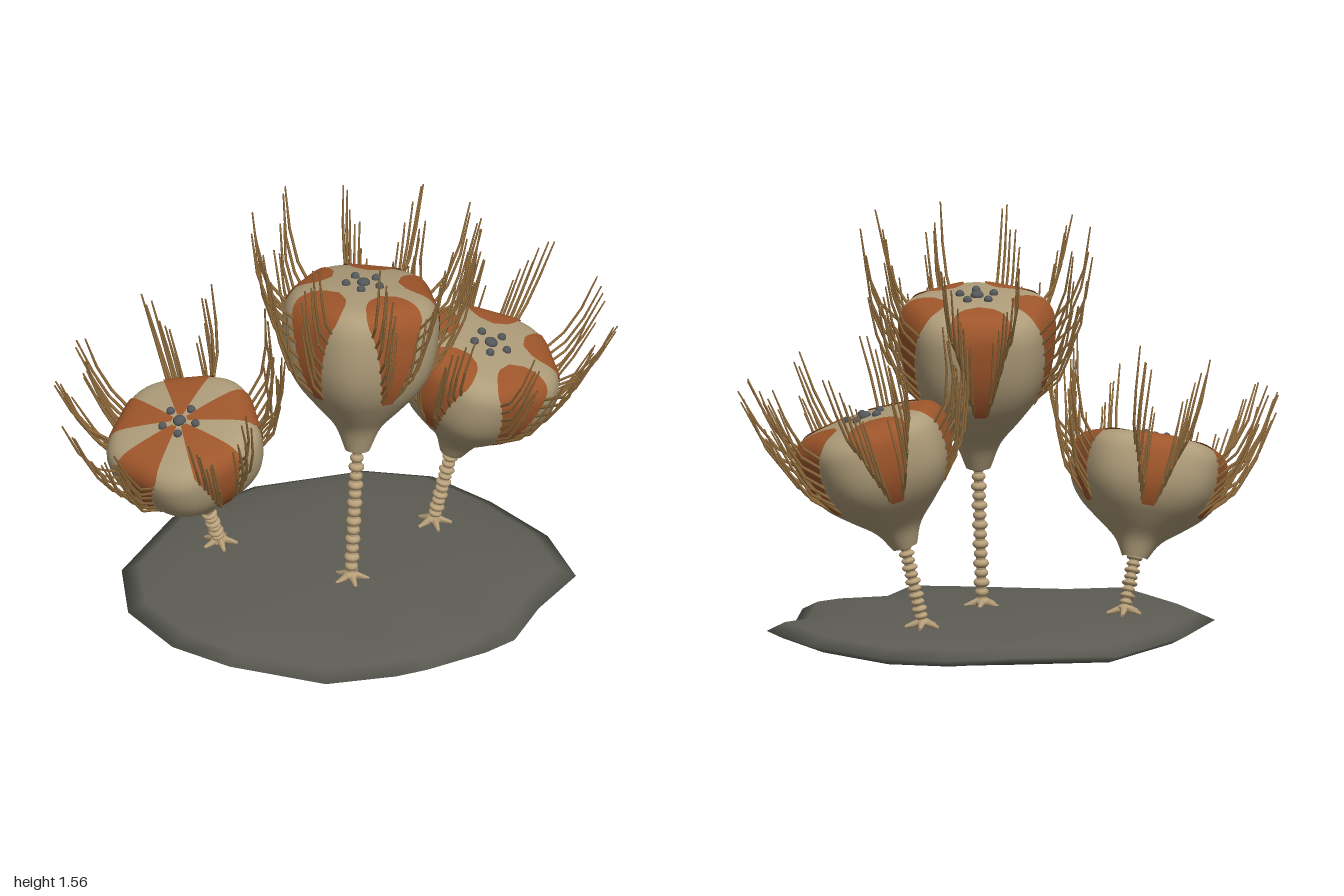
import * as THREE from 'three';
import { mergeGeometries, mergeVertices } from 'three/addons/utils/BufferGeometryUtils.js';

const V = (x, y, z) => new THREE.Vector3(x, y, z);
const mat = (name, color, side = THREE.FrontSide) => {
  const m = new THREE.MeshStandardMaterial({ color, side });
  m.name = name;
  return m;
};
let seed = 7;
const rand = () => (seed = (seed * 16807) % 2147483647) / 2147483647 - 0.5;

// Smooth surface from a rule f(u, v): u runs round, v runs upwards
function surface(f, nu, nv) {
  const pos = [], index = [];
  for (let i = 0; i <= nu; i++)
    for (let j = 0; j <= nv; j++) pos.push(...f(i / nu, j / nv).toArray());
  for (let i = 0; i < nu; i++)
    for (let j = 0; j < nv; j++) {
      const a = i * (nv + 1) + j, c = a + nv + 1;
      index.push(a, a + 1, c, c, a + 1, c + 1);
    }
  let g = new THREE.BufferGeometry();
  g.setAttribute('position', new THREE.Float32BufferAttribute(pos, 3));
  g.setIndex(index);
  g = mergeVertices(g, 1e-5);
  g.computeVertexNormals();
  return g;
}

// Thin tapered rod between two points
function rod(a, b, r0, r1, sides = 4) {
  const d = b.clone().sub(a);
  const g = new THREE.CylinderGeometry(r1, r0, d.length(), sides);
  g.applyQuaternion(new THREE.Quaternion().setFromUnitVectors(V(0, 1, 0), d.normalize()));
  const m = a.clone().add(b).multiplyScalar(0.5);
  return g.translate(m.x, m.y, m.z);
}

// Crown profile: radius, share of height
const PROFILE = new THREE.CatmullRomCurve3([
  [0.045, 0], [0.085, 0.15], [0.155, 0.28], [0.22, 0.41], [0.262, 0.56],
  [0.278, 0.75], [0.268, 0.89], [0.228, 0.965], [0.12, 0.998], [0, 1.005],
].map(([r, t]) => V(r, t, 0)));

export function createModel() {
  const model = new THREE.Group();
  model.name = 'seaFloorColony';
  const cream = mat('cream', 0xae9c79);
  const rust = mat('rust', 0x9f562b, THREE.DoubleSide);
  const stemTan = mat('stemTan', 0xb8a07a);
  const armBrown = mat('armBrown', 0x96703f);
  const knobGrey = mat('knobGrey', 0x55585a);
  const rock = mat('rock', 0x5d5d55);

  const add = (parent, name, geometry, material) => {
    const m = new THREE.Mesh(geometry, material);
    m.name = name;
    parent.add(m);
  };

  // Rock slab: irregular outline swept through a lens-shaped section
  const outline = [
    [0.78, -0.1], [0.8, 0.21], [0.62, 0.36], [0.47, 0.58], [0.35, 0.63], [0.12, 0.67],
    [-0.01, 0.72], [-0.26, 0.68], [-0.56, 0.47], [-0.73, 0.31], [-0.81, 0], [-0.76, -0.27],
    [-0.49, -0.57], [-0.14, -0.73], [0.26, -0.7], [0.49, -0.61], [0.65, -0.4],
  ];
  const section = [[0, 0], [0.4, 0.003], [0.75, 0.02], [0.93, 0.04], [1, 0.068],
    [0.92, 0.098], [0.7, 0.116], [0.35, 0.128], [0, 0.13]];
  add(model, 'rockSlab', surface((u, v) => {
    const k = Math.round(u * outline.length) % outline.length;
    const [s, y] = section[Math.round(v * 8)];
    const edge = s > 0.9 ? 0.012 * Math.sin(k * 2.3) : 0;
    return V(outline[k][0] * s, y + edge, outline[k][1] * s);
  }, outline.length, 8), rock);

  // Beaded stem with a star-shaped root
  function buildStem(parent, base, top, beads) {
    const step = base.distanceTo(top) / beads;
    const up = new THREE.Quaternion().setFromUnitVectors(V(0, 1, 0), top.clone().sub(base).normalize());
    const parts = [rod(base, top, 0.017, 0.017, 10)];
    for (let i = 0; i <= beads; i++) {
      const p = base.clone().lerp(top, i / beads);
      const r = i % 2 ? 0.025 : 0.029;
      parts.push(new THREE.SphereGeometry(1, 12, 8).scale(r, step * 0.52, r)
        .applyQuaternion(up).translate(p.x, p.y, p.z));
    }
    add(parent, 'stem', mergeGeometries(parts), stemTan);
    const toes = [];
    for (let i = 0; i < 5; i++) {
      const a = i * Math.PI * 0.4 + 0.3;
      toes.push(rod(V(base.x, 0.145, base.z),
        V(base.x + Math.cos(a) * 0.065, 0.126, base.z + Math.sin(a) * 0.065), 0.018, 0.006, 6));
    }
    add(parent, 'root', mergeGeometries(toes), stemTan);
  }

  // Crown: lobed body, five petals, jointed arms along petal edges, knobs on top
  function buildCrown(parent, from, to, turn, longPetals) {
    const h = from.distanceTo(to);
    const crown = new THREE.Group();
    crown.name = 'crown';
    crown.position.copy(from);
    crown.quaternion.setFromUnitVectors(V(0, 1, 0), to.clone().sub(from).normalize());
    parent.add(crown);

    const point = (angle, s, lift = 0) => {
      const p = PROFILE.getPoint(s), t = PROFILE.getTangent(s);
      const n = V(t.y * h, -t.x, 0).normalize();
      const lobe = 1 - 0.045 * Math.min(1, p.y * 2) * Math.cos(5 * (angle - turn));
      const r = Math.max(0, (p.x + n.x * lift) * lobe);
      return V(Math.cos(angle) * r, p.y * h + n.y * lift, Math.sin(angle) * r);
    };
    add(crown, 'body', surface((u, v) => point(u * Math.PI * 2, v), 60, 36), cream);

    const s0 = 2.9 / 9, s1 = (longPetals ? 8.75 : 7.9) / 9;
    const sAt = u => s0 + (s1 - s0) * u;
    const halfAngle = u => {
      const r = PROFILE.getPoint(sAt(u)).x;
      let w = 0.022 + 0.085 * Math.min(1, u / 0.65);
      if (longPetals) return Math.min(w / r, 0.36);
      if (u > 0.72) w *= Math.sqrt(Math.max(0, 1 - ((u - 0.72) / 0.28) ** 2));
      return w / r;
    };

    const petals = [], arms = [], knobs = [];
    for (let k = 0; k < 5; k++) {
      const mid = turn + k * Math.PI * 0.4;
      petals.push(surface((u, v) => point(mid + (u * 2 - 1) * halfAngle(v), sAt(v), 0.005), 8, 28));

      for (const side of [-1, 1])
        for (let i = 0; i < 7; i++) {
          const u = 0.03 + i * (longPetals ? 0.075 : 0.09);
          const angle = mid + side * halfAngle(u);
          const p0 = point(angle, sAt(u));
          const lean = mid + side * (halfAngle(u) * 0.8 + 0.06) + rand() * 0.12;
          const out = V(Math.cos(lean), 0, Math.sin(lean));
          const len = 1 + rand() * 0.2;
          const next = (p, o, y) => p.clone().addScaledVector(out, o * len).add(V(0, y * len, 0));
          const p1 = next(p0, 0.065 + rand() * 0.02, 0.065);
          const p2 = next(p1, 0.045, 0.11);
          const p3 = next(p2, 0.03 + rand() * 0.03, 0.15);
          arms.push(rod(p0, p1, 0.006, 0.0055), rod(p1, p2, 0.0055, 0.005), rod(p2, p3, 0.005, 0.003));
        }

      const a = mid + Math.PI / 5;
      knobs.push(new THREE.SphereGeometry(0.016, 12, 8)
        .translate(Math.cos(a) * 0.064, h * 1.004 + 0.003, Math.sin(a) * 0.064));
    }
    knobs.push(new THREE.SphereGeometry(0.024, 14, 10).scale(1, 0.7, 1).translate(0, h * 1.005 + 0.004, 0));
    add(crown, 'petals', mergeGeometries(petals), rust);
    add(crown, 'arms', mergeGeometries(arms), armBrown);
    add(crown, 'topKnobs', mergeGeometries(knobs), knobGrey);
  }

  // Three animals: root, stem top, crown top, beads, petal turn, petals reaching the centre
  const animals = [
    ['middleAnimal', V(-0.005, 0.14, 0.09), V(0.03, 0.64, 0.05), V(0.075, 1.275, -0.03), 14, 0.1, false],
    ['leftAnimal', V(0.385, 0.14, -0.21), V(0.45, 0.42, -0.2), V(0.575, 0.89, -0.128), 11, 0, false],
    ['rightAnimal', V(-0.395, 0.14, -0.275), V(-0.455, 0.315, -0.235), V(-0.575, 0.73, -0.155), 8, 0.08, true],
  ];
  for (const [name, root, neck, top, beads, turn, longPetals] of animals) {
    const g = new THREE.Group();
    g.name = name;
    buildStem(g, root, neck, beads);
    buildCrown(g, neck, top, turn, longPetals);
    model.add(g);
  }
  return model;
}
